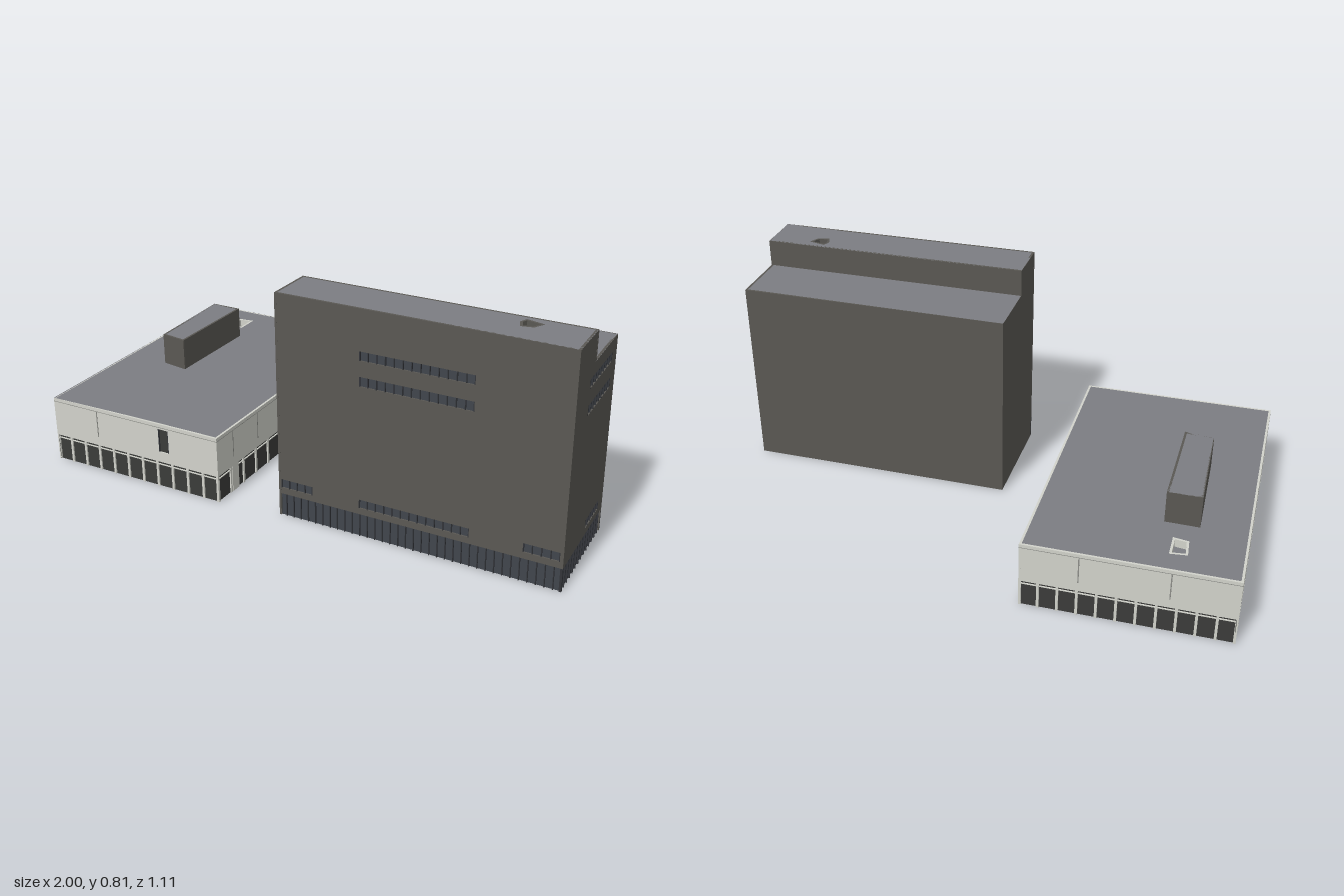
import * as THREE from 'three';

const mat = (color) => new THREE.MeshStandardMaterial({ color, side: THREE.DoubleSide, flatShading: true });
const M = {
  light: mat(0xd2d3cb), dark: mat(0x5a5853), roof: mat(0x7c7d82),
  glass: mat(0x3b3c3a), blueGlass: mat(0x40454c), seam: mat(0x8e8f8a), frame: mat(0x33353a),
};
const T = 0.008; // wall thickness
const rect = (x0, x1, y0, y1) => [[x0, y0], [x1, y0], [x1, y1], [x0, y1]];
const toShape = (pts, C = THREE.Shape) => new C(pts.map(([x, y]) => new THREE.Vector2(x, y)));
const dist = (a, b) => Math.hypot(b[0] - a[0], b[1] - a[1]);

function add(parent, name, geometry, material) {
  const mesh = new THREE.Mesh(geometry, material);
  mesh.name = name;
  parent.add(mesh);
  return mesh;
}

function box(parent, name, material, x0, x1, y0, y1, z, depth) {
  const m = add(parent, name, new THREE.BoxGeometry(x1 - x0, y1 - y0, depth), material);
  m.position.set((x0 + x1) / 2, (y0 + y1) / 2, z);
  return m;
}

// Wall from a to b (plan x, z): local x runs along it, local z points outward
function wall(parent, name, a, b, outline, material, holes = []) {
  const g = new THREE.Group();
  g.name = name;
  g.position.set(a[0], 0, a[1]);
  g.rotation.y = Math.atan2(-(b[1] - a[1]), b[0] - a[0]);
  const s = toShape(outline);
  s.holes = holes.map((h) => toShape(rect(...h), THREE.Path));
  const geo = new THREE.ExtrudeGeometry(s, { depth: T, bevelEnabled: false }).translate(0, 0, -T);
  add(g, name + 'Panel', geo, material);
  parent.add(g);
  return g;
}

// Strip of panes divided by mullions
function glazing(g, name, [x0, x1, y0, y1], n, glass, bar, w) {
  box(g, name + 'Glass', glass, x0, x1, y0, y1, -T * 0.75, 0.002);
  for (let i = 0; i <= n; i++) {
    const x = Math.min(Math.max(x0 + ((x1 - x0) * i) / n, x0 + w / 2), x1 - w / 2);
    box(g, name + 'Mullion', bar, x - w / 2, x + w / 2, y0, y1, -T / 2, T);
  }
}

// Flat roof at height y from plan corners, with optional openings
function roof(parent, name, pts, y, holes = []) {
  const flip = (l) => l.map(([x, z]) => [x, -z]);
  const s = toShape(flip(pts));
  s.holes = holes.map((h) => toShape(flip(h), THREE.Path));
  const geo = new THREE.ShapeGeometry(s).rotateX(-Math.PI / 2).translate(0, y, 0);
  return add(parent, name, geo, M.roof);
}

// Closed ring of plain walls over plan corners
function ring(parent, name, pts, y0, y1, material) {
  pts.forEach((a, i) => {
    const b = pts[(i + 1) % pts.length];
    wall(parent, name, a, b, rect(0, dist(a, b), y0, y1), material);
  });
}

// Sunken opening in a roof
function pit(parent, name, pts, y, depth, material) {
  ring(parent, name + 'Side', pts, y - depth, y, material);
  roof(parent, name + 'Floor', pts, y - depth);
}

function lowBlock() {
  const g = new THREE.Group();
  g.name = 'lowBuilding';
  const H = 0.25, base = 0.1;
  const c = [[-0.94, 0.55], [-0.23, 0.51], [-0.28, -0.56], [-1, -0.52]];
  const names = ['lowFrontWall', 'lowLeftWall', 'lowBackWall', 'lowRightWall'];
  const panes = [11, 13, 11, 13];
  const seams = [[0.195], [0.1, 0.26, 0.42, 0.58, 0.74, 0.9], [0.2, 0.5], [0.17, 0.33, 0.5, 0.66, 0.82, 0.98]];
  c.forEach((a, i) => {
    const b = c[(i + 1) % 4], L = dist(a, b);
    const opening = [0.465, 0.507, 0.14, 0.23];
    const w = wall(g, names[i], a, b, rect(0, L, base, H), M.light, i === 0 ? [opening] : []);
    // Ground floor glazing with a head rail
    glazing(w, 'shopfront', [0, L, 0, base], panes[i], M.glass, M.light, 0.009);
    box(w, 'headRail', M.light, 0, L, 0.088, 0.091, -T / 2, T * 0.9);
    // Upper panel seams and parapet line
    for (const x of seams[i]) box(w, 'panelSeam', M.seam, x - 0.002, x + 0.002, 0.135, 0.235, 0, 0.002);
    box(w, 'parapetLine', M.seam, 0, L, 0.236, 0.238, 0, 0.001);
    if (i === 0) glazing(w, 'upperWindow', opening, 1, M.glass, M.frame, 0.003);
    if (i === 1) box(w, 'entrancePier', M.light, 0.09, 0.13, 0, base, -T / 2, T);
  });
  // Rooftop plant room and roof hatch
  const plant = [[-0.79, 0.09], [-0.685, 0.1], [-0.7, -0.285], [-0.82, -0.28]];
  const hatch = [[-0.8, -0.365], [-0.745, -0.36], [-0.75, -0.45], [-0.81, -0.44]];
  roof(g, 'lowRoof', c, H, [plant, hatch]);
  ring(g, 'plantRoomWall', plant, H, 0.37, M.dark);
  roof(g, 'plantRoomRoof', plant, 0.37);
  pit(g, 'lowHatch', hatch, H, 0.03, M.light);
  return g;
}

function tallBlock() {
  const g = new THREE.Group();
  g.name = 'tallBuilding';
  const H = 0.812, h = 0.712, base = 0.084;
  const FL = [-0.005, 0.465], FR = [1, 0.41], BR = [0.975, 0], BL = [-0.02, 0.05];
  const SL = [-0.01, 0.285], SR = [0.99, 0.235];
  const Lf = dist(FL, FR), Ls = dist(FR, BR), Lb = dist(BR, BL), Ll = dist(BL, FL);
  const rows = [[0.107, 0.139], [0.548, 0.582], [0.637, 0.669]];

  // Front and left walls: ribbon windows over a glazed base
  const frontWin = [[0.01, 0.13, ...rows[0]], [0.875, 0.995, ...rows[0]],
    ...rows.map((r) => [0.305, 0.695, ...r])];
  const sideWin = [[0.22, 0.36, ...rows[0]], [0.13, 0.36, ...rows[1]], [0.13, 0.36, ...rows[2]]];
  const stepped = [[0, base], [Ls, base], [Ls, h], [0.175, h], [0.175, H], [0, H]];
  const front = wall(g, 'tallFrontWall', FL, FR, rect(0, Lf, base, H), M.dark, frontWin);
  const side = wall(g, 'tallLeftWall', FR, BR, stepped, M.dark, sideWin);
  for (const [w, wins, L, n] of [[front, frontWin, Lf, 36], [side, sideWin, Ls, 14]]) {
    for (const win of wins) {
      glazing(w, 'ribbonWindow', win, Math.round((win[1] - win[0]) / 0.029), M.blueGlass, M.frame, 0.003);
    }
    glazing(w, 'baseGlazing', [0, L, 0, base], n, M.blueGlass, M.frame, 0.003);
  }

  // Plain back, right and step walls
  wall(g, 'tallBackWall', BR, BL, rect(0, Lb, 0, h), M.dark);
  const s = dist(BL, SL);
  wall(g, 'tallRightWall', BL, FL, [[0, 0], [Ll, 0], [Ll, H], [s, H], [s, h], [0, h]], M.dark);
  wall(g, 'stepWall', SR, SL, rect(0, dist(SR, SL), h, H), M.dark);

  // Two roof levels with a hatch in the upper one
  const hatch = [[0.78, 0.33], [0.82, 0.32], [0.84, 0.28], [0.775, 0.268], [0.765, 0.295]];
  roof(g, 'upperRoof', [FL, FR, SR, SL], H, [hatch]);
  roof(g, 'lowerRoof', [SL, SR, BR, BL], h);
  pit(g, 'upperHatch', hatch, H, 0.03, M.dark);
  return g;
}

export function createModel() {
  const model = new THREE.Group();
  model.name = 'twoBuildings';
  model.add(lowBlock(), tallBlock());
  return model;
}
